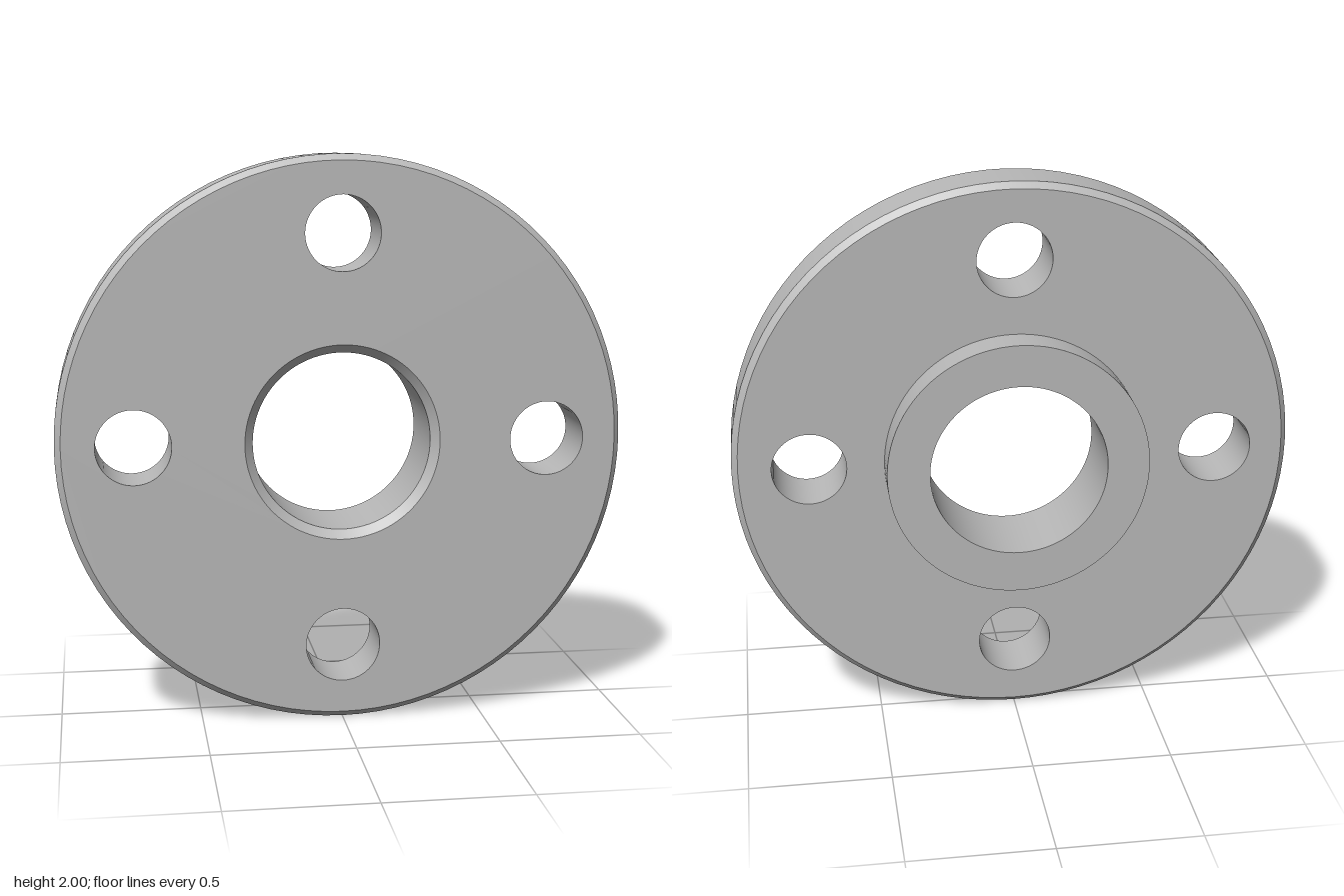
import * as THREE from 'three';

const SEG = 96;
const FRONT = 0.175, BACK = -0.053, HUB_BACK = -0.175; // z planes
const RIM = 1, RIM_CHAMFER = 0.022;
const BORE = 0.315, BORE_CHAMFER = 0.03, HUB = 0.465;
const BOLT = 0.132, BOLT_CIRCLE = 0.73;

export function createModel() {
  const steel = new THREE.MeshStandardMaterial({ color: 0xb8b8b8 });
  steel.name = 'grey steel';
  const model = new THREE.Group();
  model.name = 'flange';

  const add = (name, geometry, x = 0, y = 0) => {
    const mesh = new THREE.Mesh(geometry, steel);
    mesh.name = name;
    mesh.position.set(x, y + 1, 0);
    model.add(mesh);
  };

  // One band of revolution about z; rising z faces outward, falling z faces inward
  const band = (r0, z0, r1, z1) =>
    new THREE.LatheGeometry([new THREE.Vector2(r0, z0), new THREE.Vector2(r1, z1)], SEG).rotateX(Math.PI / 2);

  const boltCentres = [0, 1, 2, 3].map((i) => [
    BOLT_CIRCLE * Math.cos((i * Math.PI) / 2),
    BOLT_CIRCLE * Math.sin((i * Math.PI) / 2),
  ]);

  // Flat ring, optionally pierced by the bolt holes
  const face = (outer, inner, z, pierced, facesBack) => {
    const shape = new THREE.Shape().absarc(0, 0, outer, 0, Math.PI * 2);
    const holes = [[0, 0, inner]];
    if (pierced) boltCentres.forEach(([x, y]) => holes.push([x, y, BOLT]));
    for (const [x, y, r] of holes) shape.holes.push(new THREE.Path().absarc(x, y, r, 0, Math.PI * 2, true));
    const geometry = new THREE.ShapeGeometry(shape, SEG / 2);
    if (facesBack) geometry.rotateY(Math.PI);
    return geometry.translate(0, 0, z);
  };

  // Disc with chamfered rim
  const flat = RIM - RIM_CHAMFER;
  add('frontFace', face(flat, BORE + BORE_CHAMFER, FRONT, true, false));
  add('backFace', face(flat, HUB, BACK, true, true));
  add('backRimChamfer', band(flat, BACK, RIM, BACK + RIM_CHAMFER));
  add('rim', band(RIM, BACK + RIM_CHAMFER, RIM, FRONT - RIM_CHAMFER));
  add('frontRimChamfer', band(RIM, FRONT - RIM_CHAMFER, flat, FRONT));

  // Raised hub on the back
  add('hubWall', band(HUB, HUB_BACK, HUB, BACK));
  add('hubFace', face(HUB, BORE, HUB_BACK, false, true));

  // Central bore with a chamfered front mouth
  add('boreChamfer', band(BORE + BORE_CHAMFER, FRONT, BORE, FRONT - BORE_CHAMFER));
  add('bore', band(BORE, FRONT - BORE_CHAMFER, BORE, HUB_BACK));

  // Bolt hole walls
  boltCentres.forEach(([x, y], i) => add(`boltHole${i + 1}`, band(BOLT, FRONT, BOLT, BACK), x, y));

  return model;
}
